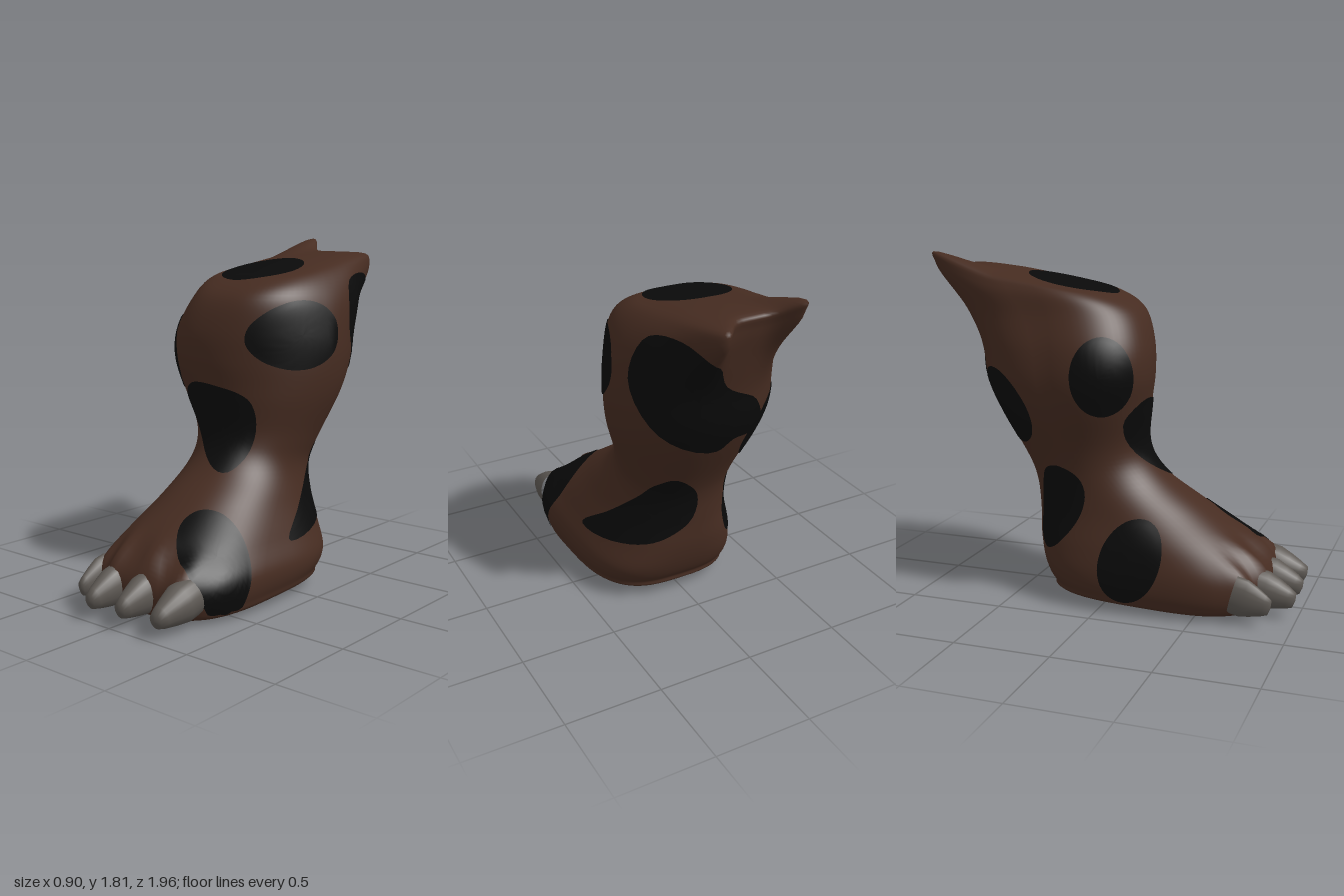
import * as THREE from 'three';

const paint = (name, color) => {
  const m = new THREE.MeshStandardMaterial({ color });
  m.name = name;
  return m;
};

// Leg cross-sections, sole to top: front z, front y, back z, back y, min x, max x, squareness
const SECTIONS = [
  [0.45, 0, 0.4, 0.01, 0, 0, 2.5],
  [0.74, 0.01, -0.25, 0.05, -0.34, 0.36, 3],
  [0.83, 0.07, -0.33, 0.1, -0.4, 0.42, 3.1],
  [0.84, 0.2, -0.38, 0.19, -0.41, 0.435, 3.1],
  [0.73, 0.33, -0.415, 0.32, -0.385, 0.375, 2.7],
  [0.47, 0.51, -0.43, 0.47, -0.335, 0.3, 2.3],
  [0.25, 0.67, -0.45, 0.62, -0.315, 0.255, 2.1],
  [0.16, 0.82, -0.5, 0.75, -0.335, 0.285, 2.1],
  [0.18, 1.03, -0.63, 0.98, -0.41, 0.365, 2.1],
  [0.21, 1.2, -0.71, 1.15, -0.44, 0.395, 2.1],
  [0.2, 1.36, -0.74, 1.32, -0.425, 0.39, 2.2],
  [0.13, 1.52, -0.79, 1.5, -0.37, 0.355, 2.5],
  [0, 1.605, -0.835, 1.67, -0.335, 0.275, 3],
  [-0.14, 1.64, -0.81, 1.745, -0.27, 0.17, 3],
  [-0.45, 1.705, -0.45, 1.705, -0.04, -0.04, 2],
];
const TOES = [-0.31, -0.15, 0.055, 0.275];

const bump = (x, c, w) => Math.exp(-(((x - c) / w) ** 2));
const step = THREE.MathUtils.smoothstep;

// Smooth blend between neighbouring cross-sections
function sectionAt(u) {
  const last = SECTIONS.length - 1;
  const i = Math.min(Math.floor(u), last - 1), t = u - i;
  const [a, b, c, d] = [i - 1, i, i + 1, i + 2].map(k => SECTIONS[THREE.MathUtils.clamp(k, 0, last)]);
  return b.map((p, k) => p + 0.5 * t * (c[k] - a[k] +
    t * (2 * a[k] - 5 * p + 4 * c[k] - d[k] + t * (3 * (p - c[k]) + d[k] - a[k]))));
}

// Raise the two rear points at the top and the ridges of the toes
function sculpt(x, y, z) {
  const horn = step(y, 1.32, 1.72) * step(-z, 0.58, 0.84);
  const left = bump(x, -0.265, 0.085), right = bump(x, 0.17, 0.08);
  const toe = step(z, 0.55, 0.8) * step(y, 0, 0.12) * (1 - step(y, 0.3, 0.45));
  const ridge = TOES.reduce((sum, c) => sum + bump(x, c, 0.055), -0.5);
  return [
    x,
    y + horn * (0.11 * left + 0.01 * right) + toe * 0.02 * ridge,
    z - horn * (0.21 * left + 0.17 * right) + toe * 0.04 * ridge,
  ];
}

// Indexed surface from rings of points; ring r, step i is given by pointAt
function ringSurface(rings, segs, pointAt, outward) {
  const pos = [], idx = [];
  for (let r = 0; r <= rings; r++) {
    for (let i = 0; i < segs; i++) {
      pos.push(...pointAt(r, i / segs));
      if (r === rings) continue;
      const a = r * segs + i, b = r * segs + (i + 1) % segs, c = a + segs, d = b + segs;
      if (outward) idx.push(a, c, b, b, c, d);
      else idx.push(a, b, c, b, d, c);
    }
  }
  const g = new THREE.BufferGeometry();
  g.setAttribute('position', new THREE.Float32BufferAttribute(pos, 3));
  g.setIndex(idx);
  g.computeVertexNormals();
  return g;
}

function legGeometry() {
  const power = (v, n) => Math.sign(v) * Math.abs(v) ** (2 / n);
  return ringSurface((SECTIONS.length - 1) * 6, 72, (r, f) => {
    const [fz, fy, bz, by, x0, x1, n] = sectionAt(r / 6);
    const a = f * Math.PI * 2;
    const s = power(Math.cos(a), n), t = power(Math.sin(a), n);
    const y = Math.max(0, (fy + by) / 2 + s * (fy - by) / 2);
    // The front of the calf leans towards the right side
    const lean = 0.11 * Math.max(0, s) * bump(y, 1.25, 0.32);
    return sculpt((x0 + x1) / 2 + t * (x1 - x0) / 2 - lean, y, (fz + bz) / 2 + s * (fz - bz) / 2);
  }, false);
}

// Spot outlines, drawn in the plane they are projected from
const oval = (cx, cy, rx, ry, tilt = 0) => Array.from({ length: 12 }, (_, i) => {
  const a = i / 12 * Math.PI * 2;
  return new THREE.Vector2(cx + rx * Math.cos(a), cy + ry * Math.sin(a))
    .rotateAround(new THREE.Vector2(cx, cy), tilt);
});
const outline = (...points) => points.map(([x, y]) => new THREE.Vector2(x, y));

// Thin patch that follows the leg surface, projected from an azimuth and elevation in degrees
function spotGeometry(leg, azimuth, elevation, points) {
  const az = THREE.MathUtils.degToRad(azimuth), el = THREE.MathUtils.degToRad(elevation);
  const dir = new THREE.Vector3(Math.sin(az) * Math.cos(el), Math.sin(el), Math.cos(az) * Math.cos(el));
  const right = new THREE.Vector3(Math.cos(az), 0, -Math.sin(az));
  const up = dir.clone().cross(right);
  const back = dir.clone().negate();
  if (THREE.ShapeUtils.area(points) < 0) points.reverse();
  const mid = points.reduce((s, p) => s.add(p), new THREE.Vector2()).divideScalar(points.length);
  const curve = new THREE.CatmullRomCurve3(points.map(p => new THREE.Vector3(p.x, p.y, 0)), true);
  const ray = new THREE.Raycaster(), rings = 9;
  return ringSurface(rings, 48, (r, f) => {
    const p = curve.getPoint(f);
    let hit;
    // Points that fall past the edge of the leg are pulled back onto it
    for (let k = r / rings; !hit; k *= 0.96) {
      const start = dir.clone().multiplyScalar(4)
        .addScaledVector(right, mid.x + (p.x - mid.x) * k)
        .addScaledVector(up, mid.y + (p.y - mid.y) * k);
      ray.set(start, back);
      hit = ray.intersectObject(leg)[0];
    }
    return hit.point.addScaledVector(hit.face.normal, 0.005).toArray();
  }, true);
}

export function createModel() {
  const model = new THREE.Group();
  model.name = 'spottedLeg';
  const hide = paint('brownHide', 0x462c21);
  const dark = paint('blackSpots', 0x0a0a0a);
  dark.side = THREE.DoubleSide;
  const horn = paint('greyClaw', 0x5c5752);

  const leg = new THREE.Mesh(legGeometry(), hide);
  leg.name = 'leg';
  model.add(leg);

  const addSpot = (name, azimuth, elevation, points) => {
    const spot = new THREE.Mesh(spotGeometry(leg, azimuth, elevation, points), dark);
    spot.name = name;
    model.add(spot);
  };
  addSpot('shinSpot', 0, 0, outline([-0.28, 0.99], [-0.2, 1.075], [-0.04, 1.075], [0.14, 1],
    [0.15, 0.76], [0.1, 0.64], [-0.1, 0.73]));
  addSpot('leftCalfSpot', 90, 0, oval(0.085, 1.335, 0.225, 0.175, 0.2));
  addSpot('rearSpot', 145, 0, outline([-0.05, 1.36], [0.04, 1.59], [0.23, 1.63], [0.37, 1.54], [0.41, 1.38],
    [0.54, 1.26], [0.55, 1.04], [0.45, 1.05], [0.36, 0.98], [0.1, 1.1]));
  addSpot('rearRightSpot', -145, 0, oval(-0.05, 1.04, 0.175, 0.2, 0.2));
  addSpot('heelSpot', 145, 0, outline([-0.37, 0.3], [-0.2, 0.45], [-0.03, 0.61], [0.06, 0.72], [0.17, 0.78],
    [0.26, 0.68], [0.24, 0.5], [0.1, 0.39], [-0.12, 0.33]));
  addSpot('toeSpot', 60, 40, oval(-0.345, -0.12, 0.175, 0.28, 0.05));
  addSpot('rightHeelSpot', -145, 0, oval(0.09, 0.51, 0.12, 0.23, -0.15));
  addSpot('rightFootSpot', -90, 0, oval(0.18, 0.28, 0.16, 0.22, -0.35));
  addSpot('rightCalfSpot', -90, 0, oval(0.03, 1.22, 0.14, 0.2));
  addSpot('topSpot', 0, 90, oval(-0.055, 0.24, 0.21, 0.24));

  // Claws: tapered, blunt at the tip, pointing forward and down
  const profile = outline([1, 0], [1, 0.3], [0.82, 0.55], [0.58, 0.82], [0.4, 0.97], [0, 1]);
  const clawShape = new THREE.LatheGeometry(profile, 20).rotateX(Math.PI / 2);
  const sizes = [[0.052, 0.2, 0.7], [0.075, 0.23, 0.765], [0.078, 0.23, 0.765], [0.09, 0.25, 0.73]];
  TOES.forEach((x, i) => {
    const [width, length, z] = sizes[i];
    const claw = new THREE.Mesh(clawShape, horn);
    claw.name = 'claw' + (i + 1);
    claw.scale.set(width, 0.1, length);
    claw.position.set(x, 0.15, z);
    claw.rotation.x = 0.25;
    model.add(claw);
  });
  return model;
}
